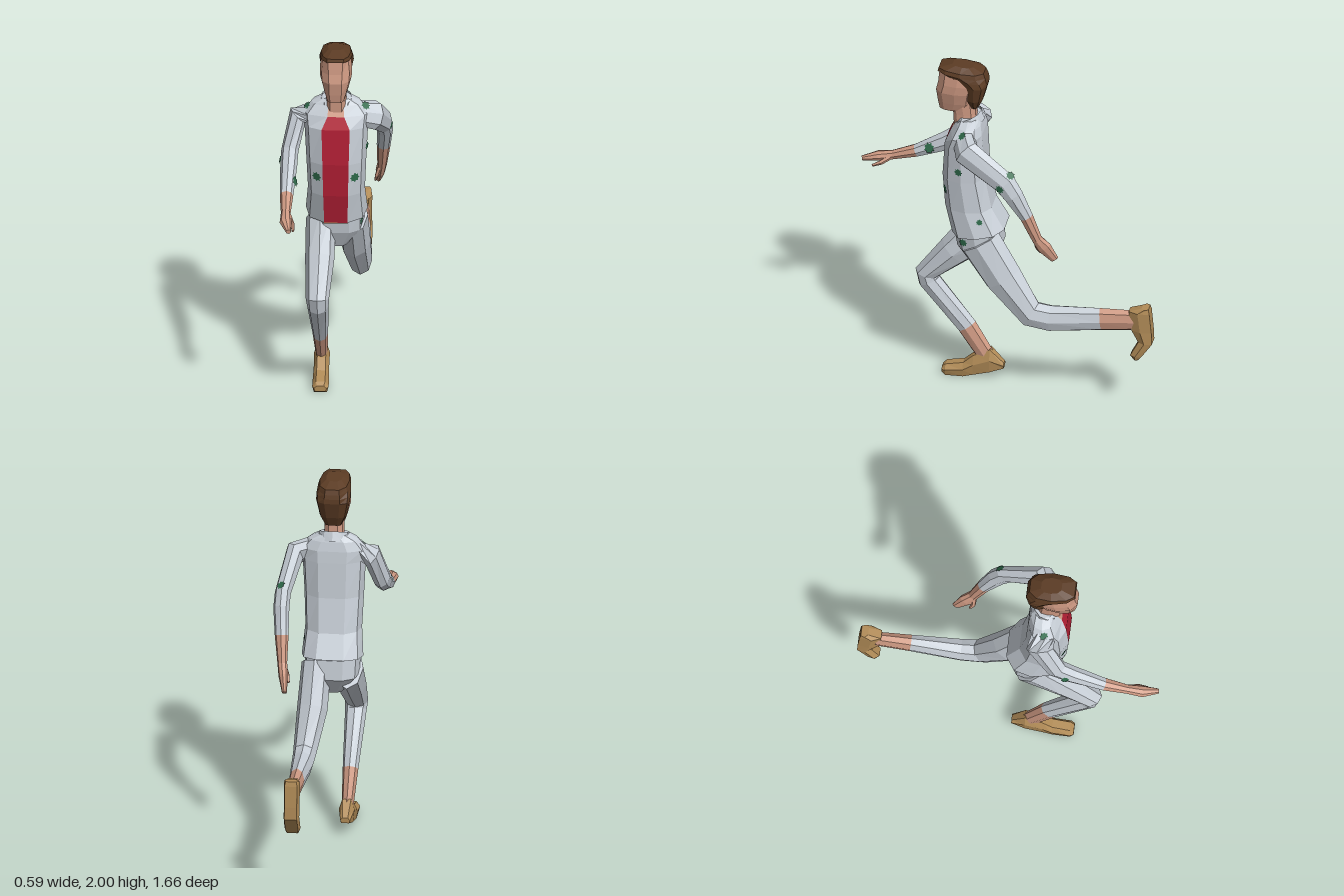
import * as THREE from 'three';

const V = (x, y, z) => new THREE.Vector3(x, y, z);
const X = V(1, 0, 0);

function paint(name, color) {
  const m = new THREE.MeshStandardMaterial({ color });
  m.name = name;
  return m;
}

// Skin a list of rings into a faceted, capped solid.
// pick(segment, side) may send a quad to another material group.
function loft(rings, pick = () => 0) {
  const buckets = [[], [], []], n = rings[0].length;
  const centre = r => r.reduce((s, p) => s.add(p), V(0, 0, 0)).divideScalar(n);
  const ends = [rings[0], rings.at(-1)].map(centre);
  for (let k = 0; k < n; k++) {
    const j = (k + 1) % n, last = rings.at(-1);
    buckets[0].push([ends[0], rings[0][j], rings[0][k]], [ends[1], last[k], last[j]]);
    for (let i = 0; i < rings.length - 1; i++) {
      const a = rings[i], b = rings[i + 1];
      buckets[pick(i, k)].push([a[k], a[j], b[j]], [a[k], b[j], b[k]]);
    }
  }
  // signed volume decides the winding
  const origin = ends[0];
  let volume = 0;
  buckets.flat().forEach(([a, b, c]) => {
    volume += a.clone().sub(origin).dot(b.clone().sub(origin).cross(c.clone().sub(origin)));
  });
  const geo = new THREE.BufferGeometry(), points = [];
  buckets.forEach((tris, m) => {
    geo.addGroup(points.length, tris.length * 3, m);
    tris.forEach(([a, b, c]) => points.push(...(volume > 0 ? [a, b, c] : [a, c, b])));
  });
  geo.setFromPoints(points);
  geo.computeVertexNormals();
  return geo;
}

// Rings across a bent path; section = [x, y, z, half width, half depth]
function limbRings(sections, n = 8) {
  const pts = sections.map(s => V(s[0], s[1], s[2]));
  return sections.map((s, i) => {
    const a = pts[Math.max(i - 1, 0)], b = pts[Math.min(i + 1, pts.length - 1)], c = pts[i];
    const before = c.clone().sub(a).normalize(), after = b.clone().sub(c).normalize();
    const t = before.add(after).normalize();
    const u = X.clone().addScaledVector(t, -t.x).normalize(), v = t.clone().cross(u);
    return Array.from({ length: n }, (_, k) => {
      const w = (k / n) * Math.PI * 2;
      return c.clone().addScaledVector(u, s[3] * Math.cos(w)).addScaledVector(v, s[4] * Math.sin(w));
    });
  });
}

// Level ring; section = [y, back z, front z, half width, front face half width, tilt]
function levelRing([y, zb, zf, hw, fw, tilt = 0]) {
  const zc = (zb + zf) / 2, hd = (zf - zb) / 2;
  const half = [[fw, 1], [hw * 0.86, 0.66], [hw, 0], [hw * 0.88, -0.66], [hw * 0.45, -1]];
  const all = [...half, ...half.map(([x, d]) => [-x, d]).reverse()];
  return all.map(([x, d]) => V(x, y + tilt * d, zc + d * hd));
}

export function createModel() {
  const model = new THREE.Group();
  const cloth = paint('pale grey cloth', 0xc9d0d8), skin = paint('skin', 0xcf9a83);
  const red = paint('red shirt', 0xb41f35), brown = paint('brown hair', 0x5c3c24);
  const tan = paint('tan leather', 0xb38d58), green = paint('green print', 0x2f6b4b);
  const clothOpen = paint('collar cloth', 0xc9d0d8);
  clothOpen.side = THREE.DoubleSide;

  function add(name, geo, material) {
    const mesh = new THREE.Mesh(geo, material);
    mesh.name = name;
    model.add(mesh);
    return mesh;
  }

  // Jacket, with the shirt and bare throat as its front faces
  const jacket = add('jacket', loft([
    [1.0, -0.01, 0.275, 0.165, 0.062, -0.025],
    [1.15, 0.06, 0.312, 0.152, 0.066],
    [1.34, 0.095, 0.325, 0.16, 0.07],
    [1.54, 0.105, 0.312, 0.17, 0.075],
    [1.605, 0.11, 0.285, 0.178, 0.045],
    [1.655, 0.12, 0.255, 0.135, 0.04],
    [1.685, 0.13, 0.24, 0.075, 0.035],
  ].map(levelRing), (i, k) => (k !== 9 ? 0 : i < 4 ? 1 : 2)), [cloth, red, skin]);

  // Trouser seat and belt
  const seat = add('trouserSeat', loft([
    [0.8, 0.08, 0.2, 0.06, 0.03],
    [0.9, 0.01, 0.245, 0.145, 0.07],
    [1.01, 0.02, 0.262, 0.15, 0.07],
  ].map(levelRing)), cloth);
  const belt = add('belt', new THREE.BoxGeometry(0.13, 0.025, 0.008), tan);
  belt.position.set(0, 0.98, 0.265);

  // Collar: an open band around the back of the neck
  const collarPts = [], collarIdx = [];
  for (let i = 0; i <= 8; i++) {
    const a = (i / 8 - 0.5) * 4.6, s = Math.sin(a), c = Math.cos(a);
    const top = 1.715 - 0.04 * (1 - c) * 0.7, low = 1.665 - 0.035 * (1 - c);
    collarPts.push(V(0.082 * s, top, 0.2 - 0.07 * c), V(0.092 * s, low, 0.195 - 0.085 * c));
    if (i < 8) collarIdx.push(2 * i, 2 * i + 1, 2 * i + 2, 2 * i + 1, 2 * i + 3, 2 * i + 2);
  }
  const collarGeo = new THREE.BufferGeometry().setFromPoints(collarIdx.map(i => collarPts[i]));
  collarGeo.computeVertexNormals();
  add('collar', collarGeo, clothOpen);

  // Neck, face and hair
  add('neck', loft([
    [1.6, 0.14, 0.27, 0.058, 0.03],
    [1.7, 0.155, 0.275, 0.054, 0.03],
    [1.8, 0.16, 0.3, 0.054, 0.03],
  ].map(levelRing)), skin);
  add('face', loft([
    [1.72, 0.21, 0.348, 0.05, 0.028],
    [1.77, 0.17, 0.358, 0.066, 0.032],
    [1.84, 0.155, 0.368, 0.084, 0.034],
    [1.89, 0.14, 0.356, 0.086, 0.036],
    [1.965, 0.13, 0.348, 0.078, 0.04],
  ].map(levelRing)), skin);
  add('hair', loft([
    [1.745, 0.14, 0.185, 0.045, 0.03],
    [1.8, 0.115, 0.205, 0.072, 0.05],
    [1.89, 0.092, 0.215, 0.091, 0.08],
    [1.925, 0.094, 0.275, 0.091, 0.07, 0.01],
    [1.95, 0.1, 0.357, 0.088, 0.046, 0.012],
    [1.973, 0.11, 0.352, 0.08, 0.044, 0.008],
    [1.995, 0.17, 0.28, 0.045, 0.02, 0.005],
  ].map(levelRing)), brown);

  // Limbs: clothed as far as the cuff, bare beyond it
  function limb(clothName, skinName, sections, cuff) {
    const rings = limbRings(sections);
    const sleeve = add(clothName, loft(rings.slice(0, cuff + 1)), cloth);
    add(skinName, loft(rings.slice(cuff)), skin);
    return sleeve;
  }
  const leftSleeve = limb('leftSleeve', 'leftForearm', [
    [0.12, 1.59, 0.2, 0.05, 0.07],
    [0.205, 1.565, 0.165, 0.056, 0.08],
    [0.245, 1.425, -0.05, 0.043, 0.068],
    [0.248, 1.36, -0.095, 0.043, 0.058],
    [0.238, 1.23, -0.165, 0.037, 0.038],
    [0.228, 1.09, -0.22, 0.026, 0.03],
    [0.218, 1.035, -0.257, 0.026, 0.042],
    [0.206, 0.96, -0.312, 0.013, 0.024],
  ], 4);
  const rightSleeve = limb('rightSleeve', 'rightForearm', [
    [-0.12, 1.59, 0.2, 0.05, 0.07],
    [-0.205, 1.565, 0.185, 0.056, 0.075],
    [-0.245, 1.4, 0.28, 0.046, 0.064],
    [-0.248, 1.345, 0.36, 0.045, 0.058],
    [-0.253, 1.258, 0.533, 0.036, 0.036],
    [-0.252, 1.215, 0.66, 0.026, 0.026],
    [-0.25, 1.2, 0.74, 0.032, 0.027],
    [-0.232, 1.185, 0.825, 0.014, 0.013],
  ], 4);
  const leftLeg = limb('leftTrouserLeg', 'leftShin', [
    [0.085, 0.95, 0.12, 0.08, 0.12],
    [0.092, 0.74, -0.01, 0.082, 0.11],
    [0.115, 0.545, -0.165, 0.062, 0.082],
    [0.115, 0.53, -0.27, 0.058, 0.078],
    [0.112, 0.557, -0.545, 0.041, 0.068],
    [0.11, 0.572, -0.73, 0.033, 0.06],
  ], 4);
  const rightLeg = limb('rightTrouserLeg', 'rightShin', [
    [-0.085, 0.93, 0.13, 0.08, 0.125],
    [-0.085, 0.77, 0.29, 0.078, 0.09],
    [-0.092, 0.605, 0.442, 0.062, 0.065],
    [-0.09, 0.56, 0.43, 0.058, 0.062],
    [-0.085, 0.3, 0.225, 0.042, 0.057],
    [-0.082, 0.13, 0.12, 0.032, 0.05],
  ], 4);

  // Thumbs
  add('leftThumb', loft(limbRings([
    [0.215, 1.07, -0.215, 0.012, 0.014],
    [0.2, 1.02, -0.217, 0.012, 0.013],
    [0.192, 0.985, -0.235, 0.007, 0.008]], 5)), skin);
  add('rightThumb', loft(limbRings([
    [-0.235, 1.21, 0.67, 0.012, 0.014],
    [-0.215, 1.18, 0.72, 0.012, 0.013],
    [-0.21, 1.16, 0.765, 0.007, 0.008]], 5)), skin);

  // Shoes: section = [along foot, sole, top, half width], placed by a mapping
  function shoe(name, sections, place) {
    add(name, loft(sections.map(([u, low, high, w]) => {
      const mid = low + (high - low) * 0.55;
      return [[w * 0.8, low], [w, mid], [w * 0.55, high], [-w * 0.55, high], [-w, mid], [-w * 0.8, low]]
        .map(([x, v]) => place(x, u, v));
    })), tan);
  }
  shoe('rightShoe', [
    [0.02, 0.07, 0.1, 0.026],
    [0.095, 0.045, 0.178, 0.042],
    [0.185, 0.018, 0.132, 0.041],
    [0.24, 0.002, 0.082, 0.043],
    [0.335, 0, 0.062, 0.044],
    [0.355, 0.012, 0.045, 0.034],
  ], (x, u, v) => V(x - 0.08, v, u));
  shoe('leftShoe', [
    [0.663, -0.808, -0.77, 0.036],
    [0.637, -0.814, -0.7, 0.043],
    [0.52, -0.825, -0.715, 0.041],
    [0.45, -0.828, -0.752, 0.042],
    [0.365, -0.77, -0.708, 0.043],
    [0.34, -0.75, -0.724, 0.034],
  ], (x, u, v) => V(x + 0.112, u, v));

  // Printed leaf sprigs, laid on the cloth where a ray meets it
  const leaf = new THREE.Shape(Array.from({ length: 16 }, (_, k) => {
    const a = (k / 16) * Math.PI * 2, r = k % 2 ? 0.02 : 0.029;
    return new THREE.Vector2(Math.cos(a) * r, Math.sin(a) * r);
  }));
  const leafGeo = new THREE.ShapeGeometry(leaf);
  const ray = new THREE.Raycaster();
  function print(cloths, from, dir, size = 1) {
    ray.set(V(...from), V(...dir));
    const hit = ray.intersectObjects(cloths)[0];
    if (!hit) return;
    const mesh = add('leafPrint', leafGeo, green);
    mesh.position.copy(hit.point).addScaledVector(hit.face.normal, 0.004);
    mesh.quaternion.setFromUnitVectors(V(0, 0, 1), hit.face.normal);
    mesh.scale.setScalar(size);
  }
  const front = [0, 0, -1], left = [-1, 0, 0], right = [1, 0, 0], above = [0, -1, 0];
  for (const s of [-1, 1]) {
    print([jacket], [s * 0.1, 1.26, 1], front);
    print([jacket, leftSleeve, rightSleeve], [s * 0.155, 2, 0.2], above, 0.9);
  }
  print([jacket], [1, 1.41, 0.22], left, 0.85);
  print([jacket], [1, 1.1, 0.11], left, 0.65);
  print([seat, leftLeg], [1, 0.955, 0.2], left, 0.85);
  print([leftSleeve], [1, 1.41, -0.03], left, 0.9);
  print([leftSleeve], [0.25, 2, -0.08], above, 0.9);
  print([rightSleeve], [0, 1.305, 0.455], left, 1.1);
  print([rightSleeve], [-1, 1.37, 0.33], right, 0.8);

  return model;
}
